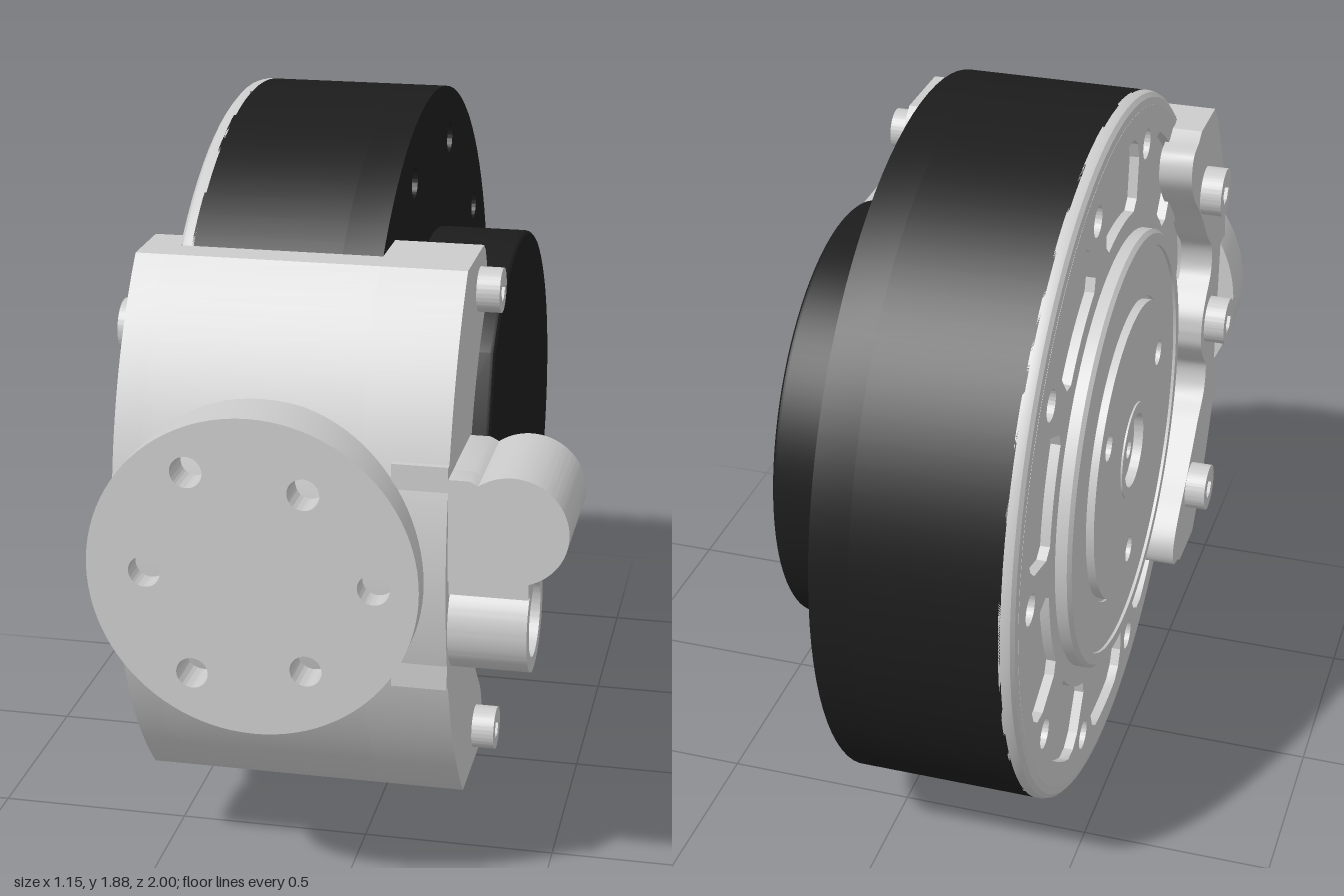
import * as THREE from 'three';
import { toCreasedNormals } from 'three/addons/utils/BufferGeometryUtils.js';

const CZ = -0.06, CY = 0.945; // drum axis runs along x through this point
const grey = new THREE.MeshStandardMaterial({ color: 0xcccccc });
const black = new THREE.MeshStandardMaterial({ color: 0x1c1c1c });

const V = (x, y) => new THREE.Vector2(x, y);
const polar = (r, a) => V(CZ + r * Math.cos(a), CY + r * Math.sin(a));

function circle(x, y, r) {
  const s = new THREE.Shape();
  s.absarc(x, y, r, 0, Math.PI * 2, false);
  return s;
}
function arc(r, a0, a1, n = 40) {
  return Array.from({ length: n + 1 }, (_, i) => polar(r, a0 + (a1 - a0) * i / n));
}
// mirror a list of profile points about the drum's mid height, in reverse order
const flip = pts => pts.map(p => V(p.x, 2 * CY - p.y)).reverse();

function extrude(shape, depth, bevel = 0) {
  return new THREE.ExtrudeGeometry(shape, {
    depth: depth - 2 * bevel, curveSegments: 48, bevelEnabled: bevel > 0,
    bevelThickness: bevel, bevelSize: bevel, bevelOffset: -bevel, bevelSegments: 3,
  }).translate(0, 0, bevel);
}

export function createModel() {
  const model = new THREE.Group();
  const add = (name, geo, mat = grey) => {
    const mesh = new THREE.Mesh(toCreasedNormals(geo, 0.5), mat);
    mesh.name = name;
    model.add(mesh);
    return mesh;
  };
  // profile drawn in (z, y), extruded from x0 to x1
  const side = (name, shape, x0, x1, mat = grey, bevel = 0) =>
    add(name, extrude(shape, x1 - x0, bevel).rotateY(-Math.PI / 2).translate(x1, 0, 0), mat);
  // profile of (radius, distance toward -x), turned about the drum axis
  const turned = (name, pts, mat = grey) =>
    add(name, new THREE.LatheGeometry(pts.map(p => V(...p)), 96)
      .rotateZ(Math.PI / 2).translate(0, CY, CZ), mat);

  // drum with ten blind holes in its right face
  const holeRing = shape => {
    for (let i = 0; i < 10; i++) {
      const p = polar(0.805, i * Math.PI / 5);
      shape.holes.push(circle(p.x, p.y, 0.04));
    }
    return shape;
  };
  side('drumBody', circle(CZ, CY, 0.94), -0.405, -0.03, black);
  side('drumFlange', holeRing(circle(CZ, CY, 0.94)), -0.03, 0.07, black);

  // motor hub, cut by a chord on the clamp side
  const hub = new THREE.Shape();
  hub.absarc(CZ, CY, 0.565, 0.742, Math.PI * 2 - 0.168, false);
  side('hub', hub, 0.06, 0.31, black, 0.015);

  // left cover plate with pockets and bolt holes, and a rounded rim
  const cover = holeRing(circle(CZ, CY, 0.905));
  for (let i = 0; i < 10; i++) {
    const a = (i + 0.5) * Math.PI / 5;
    const pts = [
      ...arc(0.64, a - 0.2, a + 0.2, 6), polar(0.67, a + 0.235),
      polar(0.78, a + 0.215), polar(0.82, a + 0.18),
      ...arc(0.84, a + 0.13, a - 0.13, 6), polar(0.82, a - 0.18),
      polar(0.78, a - 0.215), polar(0.67, a - 0.235),
    ];
    cover.holes.push(new THREE.Path(pts));
  }
  side('coverFloor', circle(CZ, CY, 0.905), -0.415, -0.4);
  side('coverPlate', cover, -0.44, -0.415);
  turned('coverRim', [[0.94, 0.4], [0.94, 0.415], [0.936, 0.428], [0.925, 0.437], [0.9, 0.44]]);

  // stepped output face on the cover
  turned('outputRing', [[0.585, 0.43], [0.585, 0.47], [0.575, 0.48], [0.545, 0.48],
    [0.545, 0.472], [0.41, 0.472], [0.41, 0.465], [0, 0.465]]);
  const face = circle(CZ, CY, 0.4);
  for (let i = 0; i < 3; i++) {
    const p = polar(0.31, Math.PI / 6 + i * Math.PI * 2 / 3);
    face.holes.push(circle(p.x, p.y, 0.035));
  }
  face.holes.push(circle(CZ, CY, 0.1));
  side('outputFace', face, -0.49, -0.46);
  turned('centreBoss', [[0.13, 0.48], [0.13, 0.495], [0.1, 0.495], [0.1, 0.47],
    [0.045, 0.47], [0.045, 0.48], [0.025, 0.48], [0.025, 0.466], [0, 0.466]]);

  // clamp: curved front wall and a cheek on each side
  const aTop = Math.asin(0.685), aDrum = Math.asin(0.685 / 0.942);
  const outer = arc(1, -aTop, aTop);
  side('clampWall', new THREE.Shape([...outer, ...arc(0.942, aDrum, -aDrum)]), -0.45, 0.08);

  const rightEar = [V(0.44, 1.63), V(0.414, 1.61), V(0.395, 1.575), V(0.39, 1.53),
    V(0.4, 1.49), V(0.425, 1.45)];
  side('rightCheek', new THREE.Shape([...outer, ...rightEar,
    ...arc(0.7, 0.7, -0.7), ...flip(rightEar)]), 0.07, 0.29);

  // left cheek: two ears and a middle lobe joined by a wavy edge
  const wave = new THREE.CatmullRomCurve3([
    [0.47, 1.61], [0.41, 1.59], [0.397, 1.53], [0.44, 1.46], [0.53, 1.38], [0.6, 1.31],
    [0.665, 1.24], [0.73, 1.18], [0.74, 1.1], [0.685, 1.04], [0.65, 0.99], [0.643, 0.95],
  ].map(p => new THREE.Vector3(p[0], p[1], 0))).getPoints(44).map(p => V(p.x, p.y));
  side('leftCheek', new THREE.Shape([...outer, V(0.5, 1.63), ...wave,
    ...flip(wave), V(0.5, 0.26)]), -0.52, -0.43);

  // socket head bolts
  const bolt = (z, y, r, x, dir) => {
    const head = circle(z, y, r);
    head.holes.push(new THREE.Path(Array.from({ length: 6 }, (_, i) =>
      V(z + r * 0.5 * Math.cos(i * Math.PI / 3), y + r * 0.5 * Math.sin(i * Math.PI / 3)))));
    const end = x + dir * 0.06;
    side('boltHead', head, Math.min(x, end), Math.max(x, end));
  };
  for (const s of [-1, 1]) {
    bolt(0.495, CY + s * 0.59, 0.055, 0.287, 1);
    bolt(0.59, CY + s * 0.475, 0.067, -0.518, -1);
  }
  bolt(0.745, CY, 0.067, -0.518, -1);

  // round mounting flange on the front
  const flange = circle(-0.165, CY, 0.403);
  for (const [x, y] of [[-0.425, 0.945], [0.13, 0.945], [-0.315, 1.205],
    [-0.035, 1.17], [-0.035, 0.72], [-0.315, 0.69]]) flange.holes.push(circle(x, y, 0.039));
  add('mountFlange', extrude(flange, 0.14).translate(0, 0, 0.86));

  // connector base on the right of the clamp
  add('connectorBase', new THREE.BoxGeometry(0.135, 0.57, 0.25).translate(0.2225, 0.945, 0.79));

  // upper port along z: closed at the front, open at the back
  const portShape = bore => {
    const s = new THREE.Shape();
    s.moveTo(0.26, 0.945);
    s.lineTo(0.44, 0.945);
    s.absarc(0.44, 1.08, 0.135, -Math.PI / 2, 2.2, false);
    s.lineTo(0.34, 1.2);
    s.lineTo(0.26, 1.2);
    if (bore) s.holes.push(circle(0.44, 1.08, 0.1));
    return s;
  };
  add('upperPort', extrude(portShape(true), 0.24).translate(0, 0, 0.61));
  add('upperPortCap', extrude(portShape(false), 0.065).translate(0, 0, 0.85));

  // lower port along x: open at its outer end
  const tube = circle(0.785, 0.81, 0.132);
  tube.holes.push(circle(0.785, 0.81, 0.095));
  side('lowerPort', tube, 0.28, 0.48);
  add('portBridge', new THREE.BoxGeometry(0.2, 0.06, 0.22).translate(0.38, 0.935, 0.79));
  return model;
}
